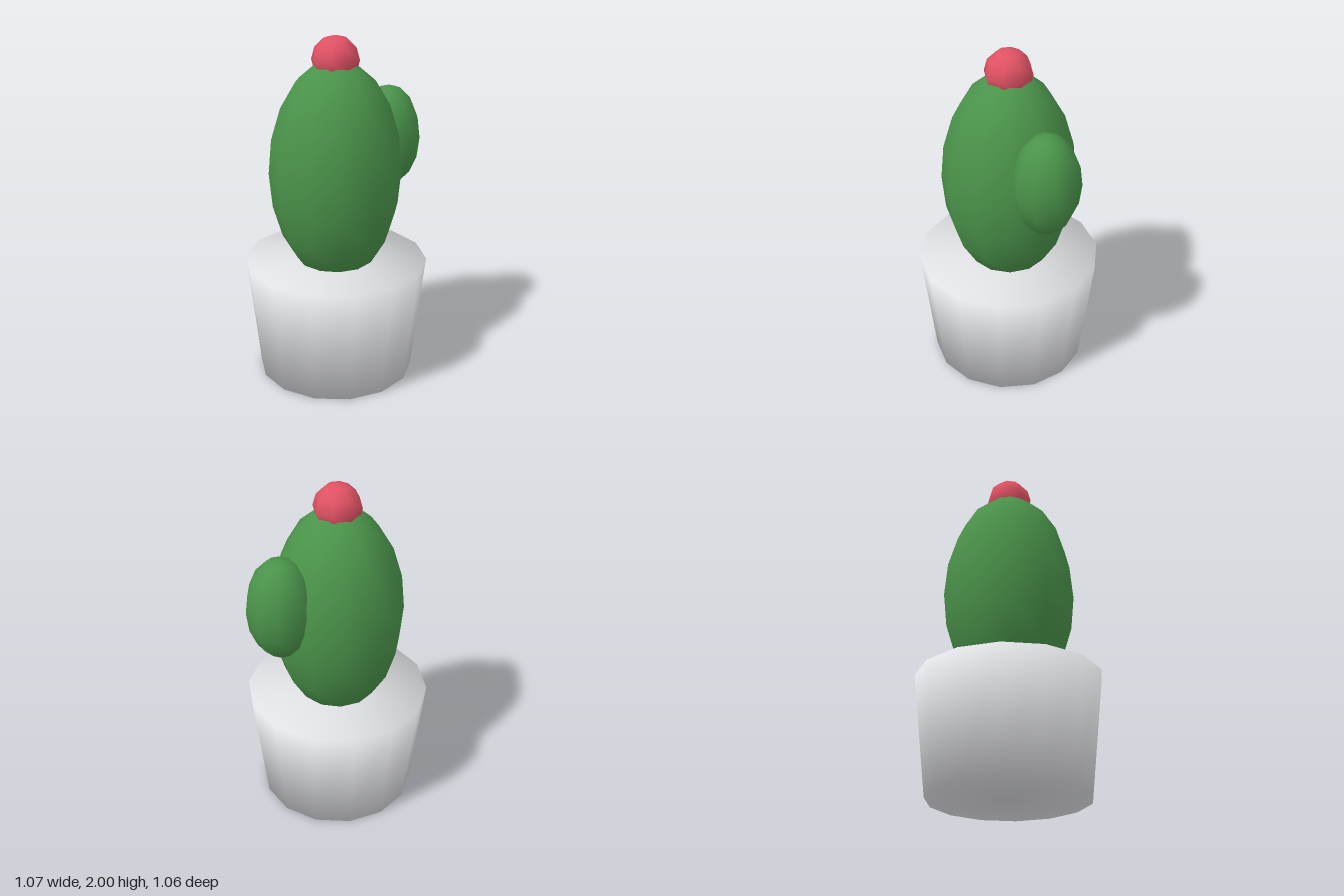
import * as THREE from 'three';

const CENTER_X = -0.02;

function colour(name, hex) {
  const m = new THREE.MeshStandardMaterial({ color: hex });
  m.name = name;
  return m;
}

// Faceted ellipsoid with smooth shading
function ellipsoid(name, material, radii, segments, rings, position, turn = 0) {
  const geometry = new THREE.SphereGeometry(1, segments, rings);
  geometry.rotateY(turn);
  geometry.scale(...radii);
  const mesh = new THREE.Mesh(geometry, material);
  mesh.name = name;
  mesh.position.set(...position);
  return mesh;
}

// Tapered 14-sided pot, closed top and bottom, softly shaded over its rims
function makePot(material) {
  const height = 0.69, top = 0.53, bottom = 0.455;
  const geometry = new THREE.CylinderGeometry(top, bottom, height, 14, 1);
  const pos = geometry.attributes.position;
  const n = new THREE.Vector3();
  for (let i = 0; i < pos.count; i++) {
    const up = Math.sign(pos.getY(i));
    const radius = up > 0 ? top : bottom;
    n.set(pos.getX(i) / radius, up, pos.getZ(i) / radius).normalize();
    geometry.attributes.normal.setXYZ(i, n.x, n.y, n.z);
  }
  const mesh = new THREE.Mesh(geometry, material);
  mesh.name = 'pot';
  mesh.position.set(CENTER_X, height / 2, 0);
  return mesh;
}

export function createModel() {
  const white = colour('potWhite', 0xe0e1e4);
  const green = colour('cactusGreen', 0x4a934a);
  const red = colour('flowerRed', 0xe05264);

  const group = new THREE.Group();
  group.name = 'pottedCactus';
  group.add(
    makePot(white),
    ellipsoid('cactusBody', green, [0.38, 0.647, 0.38], 12, 10, [CENTER_X, 1.22, 0]),
    ellipsoid('cactusArm', green, [0.19, 0.3, 0.19], 10, 8, [0.357, 1.37, 0], Math.PI / 2),
    ellipsoid('flower', red, [0.135, 0.135, 0.135], 8, 6, [CENTER_X, 1.865, 0])
  );
  return group;
}
